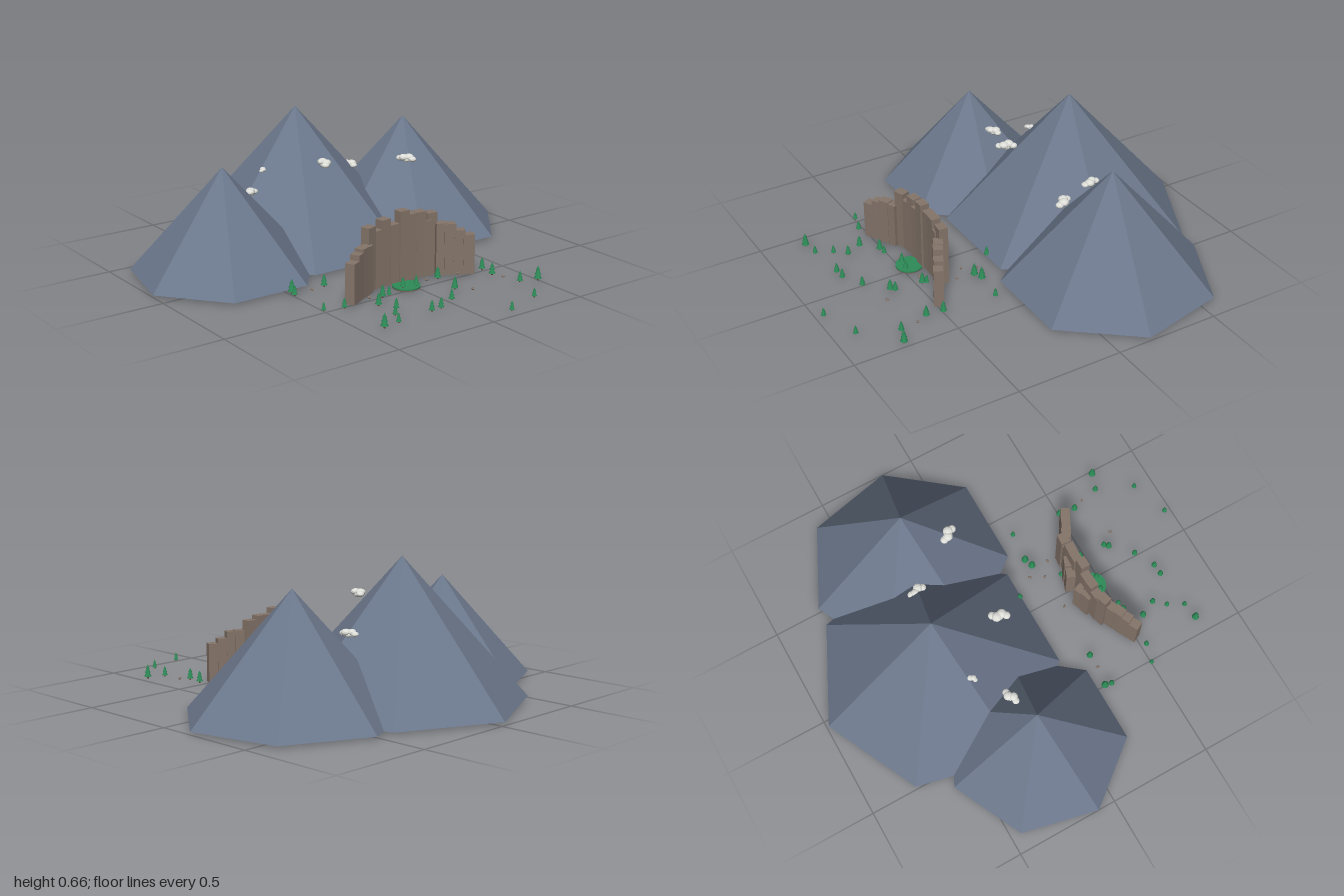
import * as THREE from 'three';

const mat = (name, color, flatShading = true) => {
  const m = new THREE.MeshStandardMaterial({ color, flatShading });
  m.name = name;
  return m;
};

export function createModel() {
  const rock = mat('slate rock', 0x6b778b);
  const stone = mat('brown stone', 0x85756a);
  const leaf = mat('green foliage', 0x2a8553);
  const grass = mat('grass green', 0x2e8b57);
  const bark = mat('bark brown', 0x5c4535);
  const earth = mat('earth brown', 0x6f5d52);
  const white = mat('cloud white', 0xdeded9);

  const model = new THREE.Group();
  model.name = 'mountainDiorama';

  const group = (name, parent = model) => {
    const g = new THREE.Group();
    g.name = name;
    parent.add(g);
    return g;
  };
  const add = (parent, name, geo, material, x, y, z) => {
    const m = new THREE.Mesh(geo, material);
    m.name = name;
    m.position.set(x, y, z);
    parent.add(m);
    return m;
  };

  // Mountains: seven-sided cones with a corner towards the back [x, z, radius, top]
  const base = 0.011;
  const mountains = group('mountains');
  for (const [x, z, r, top] of [
    [-0.033, -0.406, 0.584, 0.662],
    [-0.58, -0.182, 0.433, 0.497],
    [0.516, -0.273, 0.492, 0.563],
  ]) {
    const h = top - base;
    add(mountains, 'mountain', new THREE.ConeGeometry(r, h, 7), rock, x, base + h / 2, z).rotation.y = Math.PI;
  }

  // Curved cliff of stone columns [x, z, top, turn]
  const cliff = group('cliffWall');
  for (const [x, z, top, turn] of [
    [-0.35, 0.488, 0.19, 0.47],
    [-0.308, 0.466, 0.215, 0.47],
    [-0.27, 0.448, 0.23, 0.42],
    [-0.235, 0.43, 0.225, 0.4],
    [-0.2, 0.4, 0.298, 0.3],
    [-0.16, 0.39, 0.272, 0.1],
    [-0.108, 0.385, 0.313, 0.1],
    [-0.06, 0.39, 0.283, 0.05],
    [-0.01, 0.395, 0.338, 0],
    [0.045, 0.388, 0.313, 0],
    [0.09, 0.39, 0.314, -0.05],
    [0.12, 0.392, 0.268, -0.1],
    [0.155, 0.388, 0.298, -0.1],
    [0.19, 0.424, 0.25, -0.42],
    [0.223, 0.444, 0.247, -0.45],
    [0.262, 0.464, 0.215, -0.47],
    [0.3, 0.486, 0.193, -0.47],
    // lower columns behind
    [-0.08, 0.352, 0.2, 0.35],
    [-0.12, 0.364, 0.22, 0.3],
    [0.02, 0.352, 0.2, -0.4],
    [0.065, 0.366, 0.23, -0.4],
  ]) {
    const h = top - 0.006;
    add(cliff, 'stoneColumn', new THREE.BoxGeometry(0.052, h, 0.044), stone, x, 0.006 + h / 2, z).rotation.y = turn;
  }

  // Round clearing in front of the cliff
  const clearing = group('clearing');
  add(clearing, 'earthDisc', new THREE.CylinderGeometry(0.062, 0.062, 0.005, 24), earth, -0.033, 0.0025, 0.458);
  add(clearing, 'grassDisc', new THREE.CylinderGeometry(0.064, 0.064, 0.006, 24), grass, -0.033, 0.008, 0.458);

  // Fir trees: trunk and three stacked cones, size is the foliage radius
  const trees = group('trees');
  const trunkGeo = new THREE.CylinderGeometry(0.2, 0.25, 0.8, 6);
  const tiers = [[1, 1.6, 1.4], [0.8, 1.4, 2.3], [0.55, 1.3, 3.15]].map(
    ([r, h, y]) => [new THREE.ConeGeometry(r, h, 8), y]);
  for (const [x, z, r] of [
    [-0.5, 0.246, 0.018], [-0.507, 0.278, 0.014], [-0.337, 0.259, 0.016], [-0.51, 0.5, 0.011],
    [-0.42, 0.526, 0.013], [-0.286, 0.588, 0.016], [-0.212, 0.519, 0.016], [-0.174, 0.516, 0.012],
    [-0.25, 0.664, 0.014], [-0.297, 0.717, 0.012], [-0.338, 0.792, 0.012], [-0.42, 0.803, 0.018],
    [-0.145, 0.773, 0.014], [-0.092, 0.77, 0.014], [0.009, 0.719, 0.014], [0.104, 0.627, 0.016],
    [0.121, 0.61, 0.014], [0.131, 0.478, 0.016], [0.14, 0.46, 0.012], [-0.068, 0.478, 0.014],
    [-0.004, 0.492, 0.014], [0.087, 0.114, 0.014], [0.201, 0.247, 0.018], [0.243, 0.232, 0.018],
    [0.389, 0.247, 0.012], [0.372, 0.503, 0.016], [0.362, 0.583, 0.016], [0.4, 0.726, 0.014],
    [0.481, 0.755, 0.018], [0.319, 0.904, 0.012], [0.131, 0.967, 0.012], [0.09, 0.348, 0.012],
  ]) {
    const tree = group('tree', trees);
    tree.position.set(x, 0.009, z);
    tree.scale.setScalar(r);
    add(tree, 'trunk', trunkGeo, bark, 0, 0.4, 0);
    for (const [geo, y] of tiers) add(tree, 'foliage', geo, leaf, 0, y, 0);
  }

  // Scattered stones
  const stones = group('stones');
  const stoneGeo = new THREE.DodecahedronGeometry(0.009);
  [
    [-0.37, 0.14], [-0.404, 0.262], [-0.061, 0.279], [0.153, 0.209], [0.12, 0.273], [0.185, 0.327],
    [-0.265, 0.492], [0.078, 0.465], [0.168, 0.674], [0.382, 0.636], [0.249, 0.481],
  ].forEach(([x, z], i) => {
    const s = add(stones, 'stone', stoneGeo, stone, x, 0.013, z);
    s.scale.set(1.1, 0.7, 0.75);
    s.rotation.y = i * 1.3;
  });

  // Clouds: flattened puffs in a row [x, y, z, length, turn]
  const clouds = group('clouds');
  const puffGeo = new THREE.IcosahedronGeometry(1, 1);
  const puffs = [
    [-0.32, 0, 0, 0.18], [-0.12, 0.06, 0.07, 0.22], [0.1, 0.06, -0.06, 0.23],
    [0.3, 0, 0.03, 0.18], [0, -0.04, 0, 0.2],
  ];
  for (const [x, y, z, len, turn] of [
    [-0.41, 0.34, -0.22, 0.095, 0.38],
    [-0.263, 0.397, -0.338, 0.06, 0.58],
    [-0.083, 0.453, -0.095, 0.105, 1.13],
    [0.246, 0.342, -0.347, 0.1, -1.4],
    [0.402, 0.4, -0.095, 0.105, -1.02],
  ]) {
    const cloud = group('cloud', clouds);
    cloud.position.set(x, y, z);
    cloud.rotation.y = turn;
    cloud.scale.setScalar(len);
    for (const [px, py, pz, r] of puffs) {
      add(cloud, 'puff', puffGeo, white, px, py, pz).scale.set(r, r * 0.7, r);
    }
  }

  return model;
}
